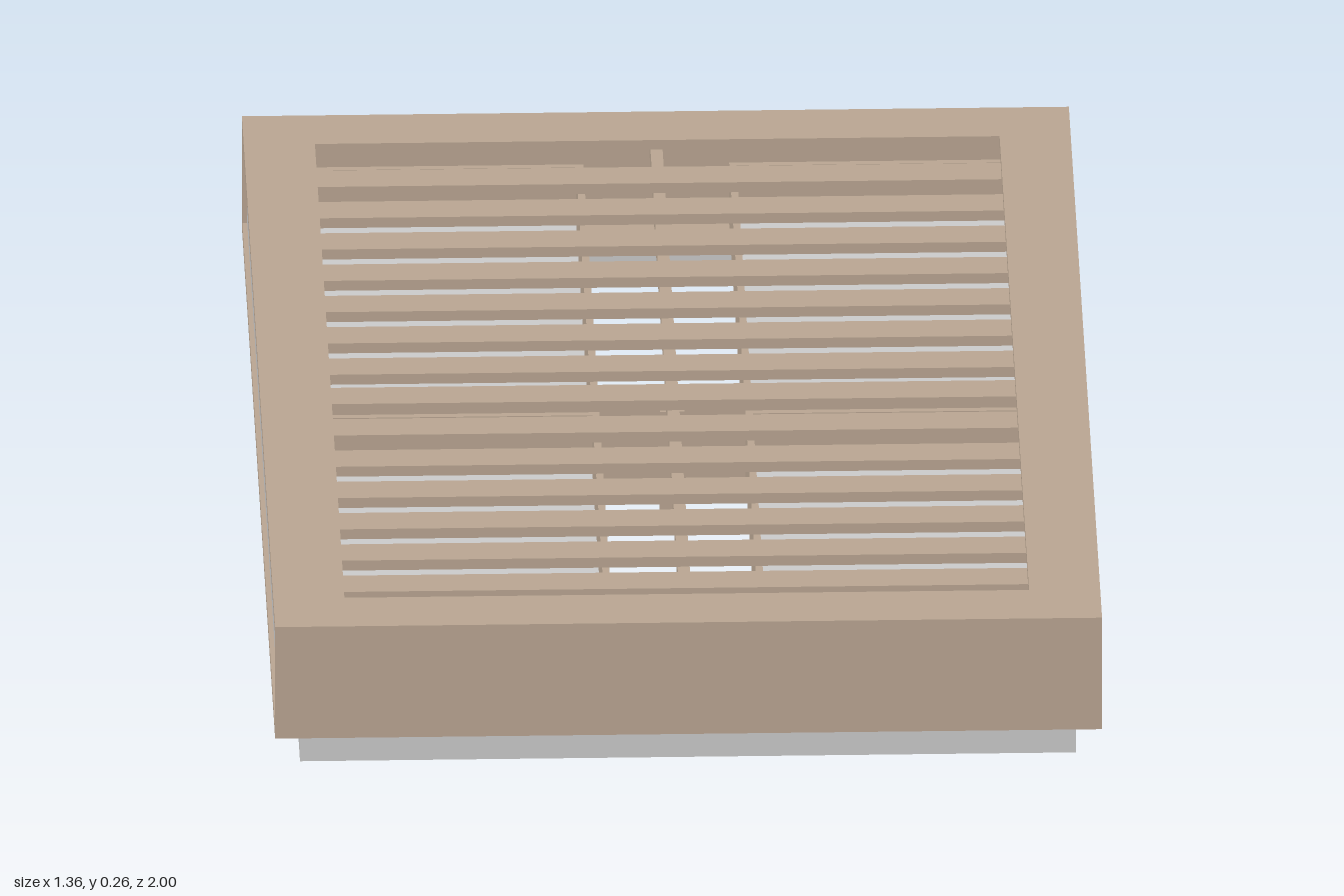
import * as THREE from 'three';

export function createModel() {
  const model = new THREE.Group();
  model.name = 'storageBed';
  const wood = new THREE.MeshStandardMaterial({ color: 0xb8a491 });
  wood.name = 'warm wood';
  const grey = new THREE.MeshStandardMaterial({ color: 0xc9c9c9 });
  grey.name = 'light grey';

  // box given by its extents on each axis
  function board(name, material, [x0, x1], [y0, y1], [z0, z1], parent = model) {
    const mesh = new THREE.Mesh(new THREE.BoxGeometry(x1 - x0, y1 - y0, z1 - z0), material);
    mesh.position.set((x0 + x1) / 2, (y0 + y1) / 2, (z0 + z1) / 2);
    mesh.name = name;
    parent.add(mesh);
    return mesh;
  }
  const span = (s, a, b) => (s > 0 ? [a, b] : [-b, -a]);

  for (const s of [1, -1]) {
    // recessed plinth ring
    board('plinthSide', grey, span(s, 0.617, 0.638), [0, 0.06], [-0.96, 0.96]);
    board('plinthEnd', grey, [-0.617, 0.617], [0, 0.06], span(s, 0.939, 0.96));
    // outer frame
    board('endPanel', wood, [-0.68, 0.68], [0.06, 0.245], span(s, 0.98, 1));
    board('bottomSideRail', wood, span(s, 0.6, 0.68), [0.06, 0.078], [-0.98, 0.98]);
    board('bottomEndRail', wood, [-0.6, 0.6], [0.06, 0.078], span(s, 0.925, 0.98));
    board('topSideBoard', wood, span(s, 0.563, 0.68), [0.245, 0.262], [-1, 1]);
    board('topEndBoard', wood, [-0.563, 0.563], [0.245, 0.262], span(s, 0.888, 1));
    board('slatLedge', wood, span(s, 0.568, 0.6), [0.205, 0.225], [-0.98, 0.98]);
    // slats
    for (let i = 0; i < 7; i++) {
      const z = 0.0575 + i * 0.1225;
      board('slat', wood, [-0.575, 0.575], [0.225, 0.243], span(s, z - 0.032, z + 0.032));
    }
  }

  // inner supports
  board('centreBeam', wood, [-0.01, 0.01], [0.19, 0.225], [-0.98, 0.98]);
  board('crossDivider', wood, [-0.64, 0.64], [0.06, 0.225], [-0.009, 0.009]);
  board('centrePost', wood, [-0.02, 0.02], [0, 0.19], [-0.02, 0.02]);

  // drawer front with a finger cut along the outer part of its top edge
  function frontGeometry(sz) {
    const shape = new THREE.Shape(
      [[0.003, 0.08], [0.977, 0.08], [0.977, 0.228], [0.735, 0.228], [0.71, 0.243], [0.003, 0.243]]
        .map(([z, y]) => new THREE.Vector2(-sz * z, y)));
    const geo = new THREE.ExtrudeGeometry(shape, { depth: 0.02, bevelEnabled: false });
    return geo.rotateY(Math.PI / 2);
  }

  for (const sx of [1, -1]) {
    for (const sz of [1, -1]) {
      const drawer = new THREE.Group();
      drawer.name = 'drawer';
      const front = new THREE.Mesh(frontGeometry(sz), grey);
      front.name = 'drawerFront';
      front.position.x = sx > 0 ? 0.652 : -0.672;
      drawer.add(front);
      board('drawerBottom', grey, span(sx, 0.132, 0.652), [0.08, 0.09], span(sz, 0.03, 0.94), drawer);
      board('drawerBack', wood, span(sx, 0.12, 0.132), [0.08, 0.19], span(sz, 0.018, 0.952), drawer);
      board('drawerSide', wood, span(sx, 0.132, 0.652), [0.08, 0.19], span(sz, 0.018, 0.03), drawer);
      board('drawerSide', wood, span(sx, 0.132, 0.652), [0.08, 0.19], span(sz, 0.94, 0.952), drawer);
      model.add(drawer);
    }
  }
  return model;
}
